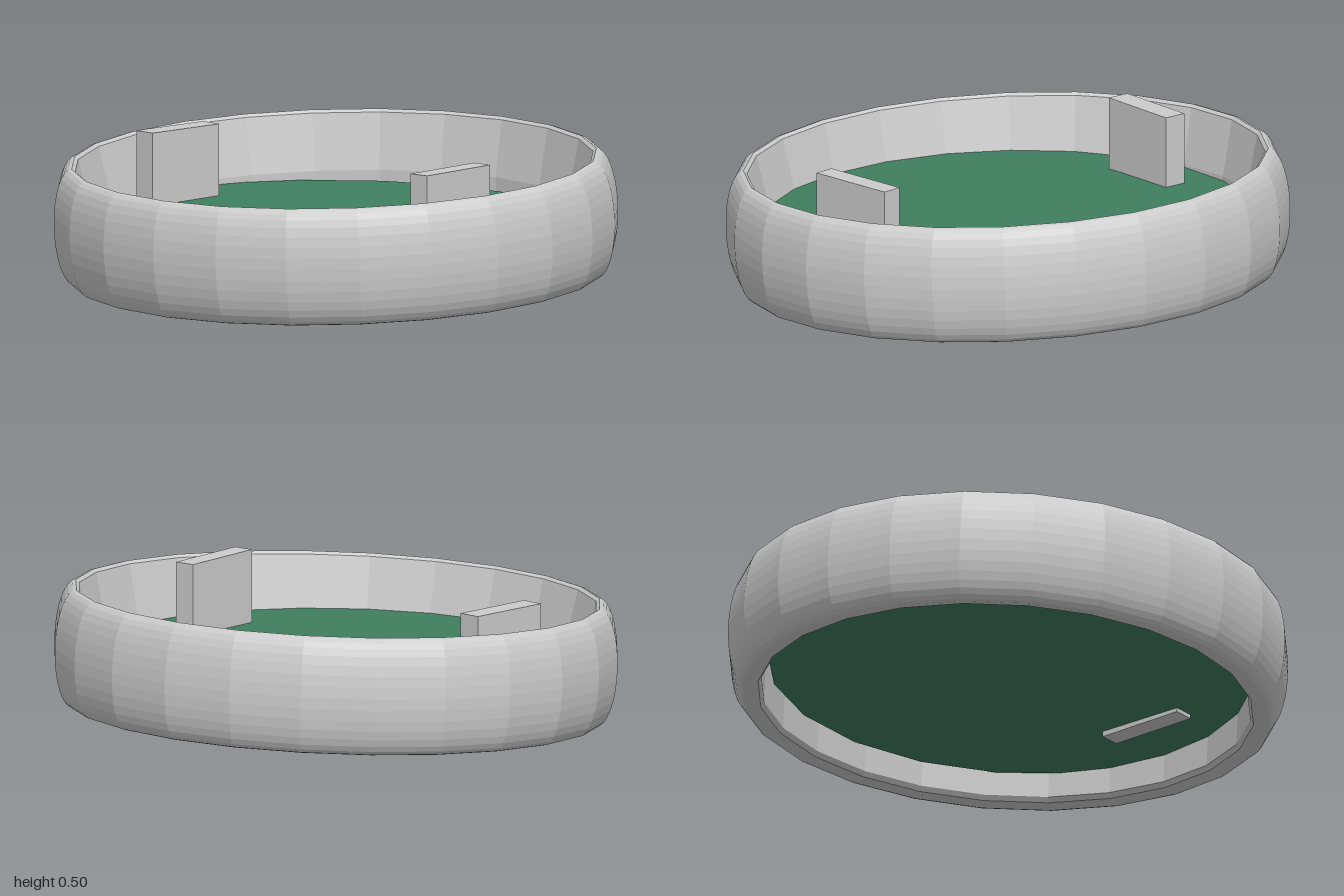
import * as THREE from 'three';

export function createModel() {
  const group = new THREE.Group();
  const grey = new THREE.MeshStandardMaterial({ color: 0xcccccc, flatShading: true });
  const green = new THREE.MeshStandardMaterial({ color: 0x3f7f60, flatShading: true });

  function add(name, geometry, material, x, y, z) {
    const mesh = new THREE.Mesh(geometry, material);
    mesh.name = name;
    mesh.position.set(x, y, z);
    group.add(mesh);
    return mesh;
  }

  // Rim profile: bulging outside from bottom to top, then a plain inner wall back down
  const profile = [];
  const crest = 0.93, halfHeight = 0.206, steps = 16;
  for (let i = 0; i <= steps; i++) {
    const a = Math.PI * (i / steps - 0.5);
    profile.push(new THREE.Vector2(crest + (1 - crest) * Math.cos(a), halfHeight * Math.sin(a)));
  }
  for (const [r, y] of [[0.918, 0.196], [0.874, 0], [0.873, -0.18], [0.885, -0.197], [crest, -halfHeight]]) {
    profile.push(new THREE.Vector2(r, y));
  }

  // Slightly oval rim, tipped sideways
  const rim = new THREE.LatheGeometry(profile, 24);
  rim.scale(0.958, 1, 1);
  add('rim', rim, grey, -0.002, 0.252, 0).rotation.z = 0.05;

  // Floor slab, a little off-centre inside the rim
  const floor = new THREE.CylinderGeometry(1, 1, 0.07, 20);
  floor.rotateY(Math.PI / 20);
  floor.scale(0.83, 1, 0.9);
  add('floor', floor, green, -0.03, 0.208, 0).rotation.z = 0.015;

  // Two upright blocks standing on the floor
  const top = 0.497;
  function block(name, width, depth, bottom, x, z, turn) {
    const height = top - bottom;
    add(name, new THREE.BoxGeometry(width, height, depth), grey, x, bottom + height / 2, z).rotation.y = turn;
  }
  block('frontBlock', 0.33, 0.075, 0.155, -0.115, 0.628, 0);
  block('backBlock', 0.313, 0.083, 0.19, -0.025, -0.711, -0.11);

  return group;
}
